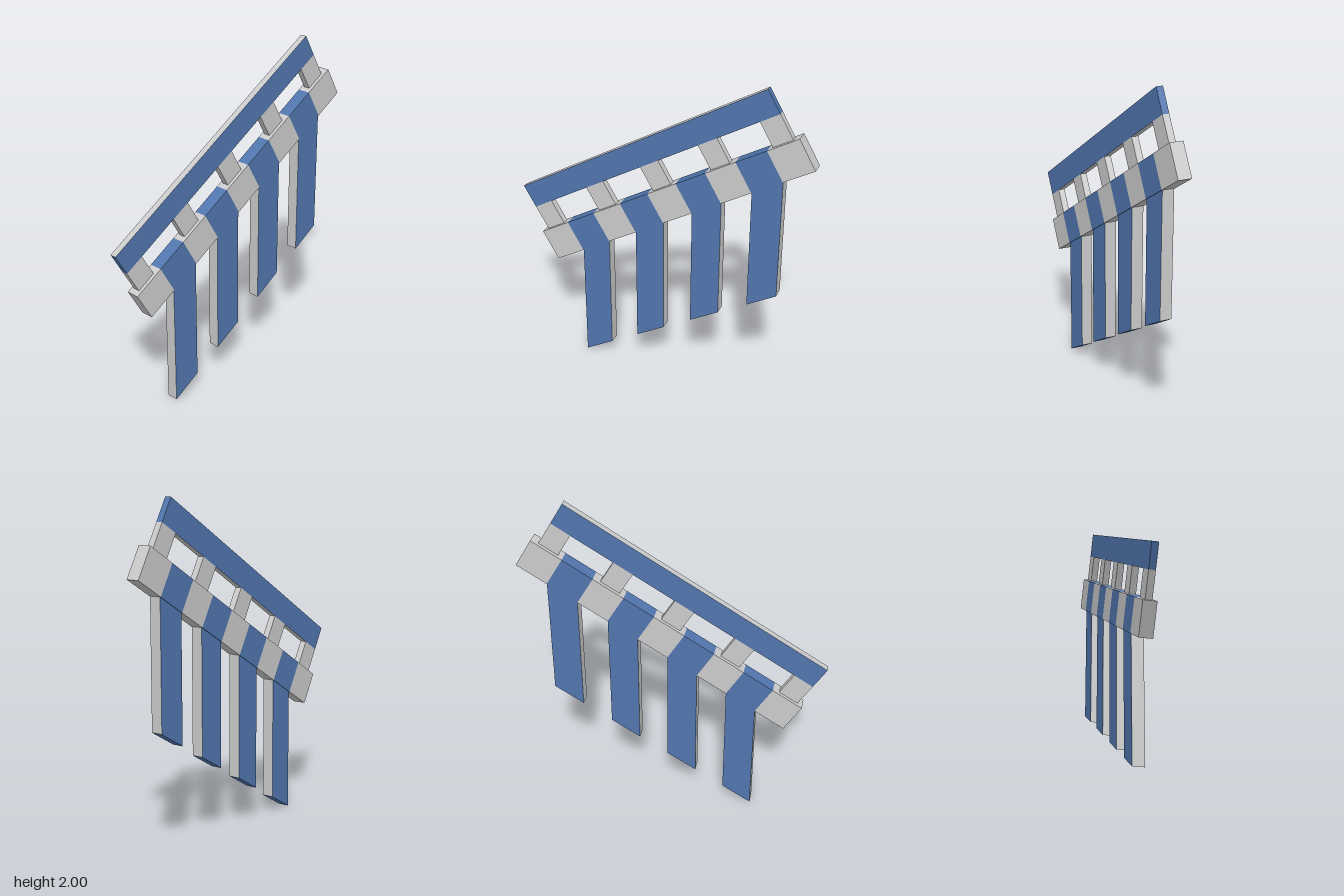
import * as THREE from 'three';

const grey = new THREE.MeshStandardMaterial({ color: 0xcccccc });
const blue = new THREE.MeshStandardMaterial({ color: 0x5176ae });

// Four-sided prism across x. Side profile corners are [z, y]:
// front bottom, back bottom, back top, front top.
// Materials follow the box faces: +x, -x, top, bottom, front, back.
function prism(name, [fb, bb, bt, ft], halfWidth, material) {
  const geometry = new THREE.BoxGeometry(halfWidth * 2, 1, 1);
  const p = geometry.attributes.position;
  for (let i = 0; i < p.count; i++) {
    const front = p.getZ(i) > 0;
    const [z, y] = p.getY(i) > 0 ? (front ? ft : bt) : (front ? fb : bb);
    p.setXYZ(i, p.getX(i), y, z);
  }
  geometry.computeVertexNormals();
  const mesh = new THREE.Mesh(geometry, material);
  mesh.name = name;
  return mesh;
}

const lerp = (a, b, t) => [a[0] + (b[0] - a[0]) * t, a[1] + (b[1] - a[1]) * t];
const shift = ([z, y], dz, dy) => [z + dz, y + dy];

export function createModel() {
  const group = new THREE.Group();
  group.name = 'slopedRailing';

  // Sloping beam of nine alternating blocks, with a leg under each blue one
  const under = [[0.685, 0.647], [-0.91, 1.582]];
  const over = [[0.785, 0.82], [-0.81, 1.755]];
  const blocks = 9;
  const legDrop = 0.75;
  for (let i = 0; i < blocks; i++) {
    const a = i / blocks, b = (i + 1) / blocks;
    const fb = lerp(...under, a), bb = lerp(...under, b);
    const isBlue = i % 2 === 1;
    group.add(prism(isBlue ? 'blueBeamBlock' : 'greyBeamBlock',
      [fb, bb, lerp(...over, b), lerp(...over, a)], 0.04, isBlue ? blue : grey));
    if (isBlue) {
      group.add(prism('leg', [shift(fb, 0, -legDrop), shift(bb, 0, -legDrop), bb, fb],
        0.035, [blue, blue, blue, blue, grey, grey]));
    }
  }

  // Handrail
  const railUnder = [[0.835, 0.975], [-0.69, 1.87]];
  const railOver = [[0.91, 1.105], [-0.615, 2.0]];
  group.add(prism('handrail', [railUnder[0], railUnder[1], railOver[1], railOver[0]],
    0.02, [blue, blue, grey, grey, blue, blue]));

  // Five short posts between beam and handrail
  const posts = 5, postWidth = 0.073;
  for (let i = 0; i < posts; i++) {
    const t = i * (1 - postWidth) / (posts - 1);
    const ft = lerp(...railUnder, t), bt = lerp(...railUnder, t + postWidth);
    group.add(prism('post', [shift(ft, -0.08, -0.137), shift(bt, -0.08, -0.137), bt, ft], 0.02, grey));
  }
  return group;
}
